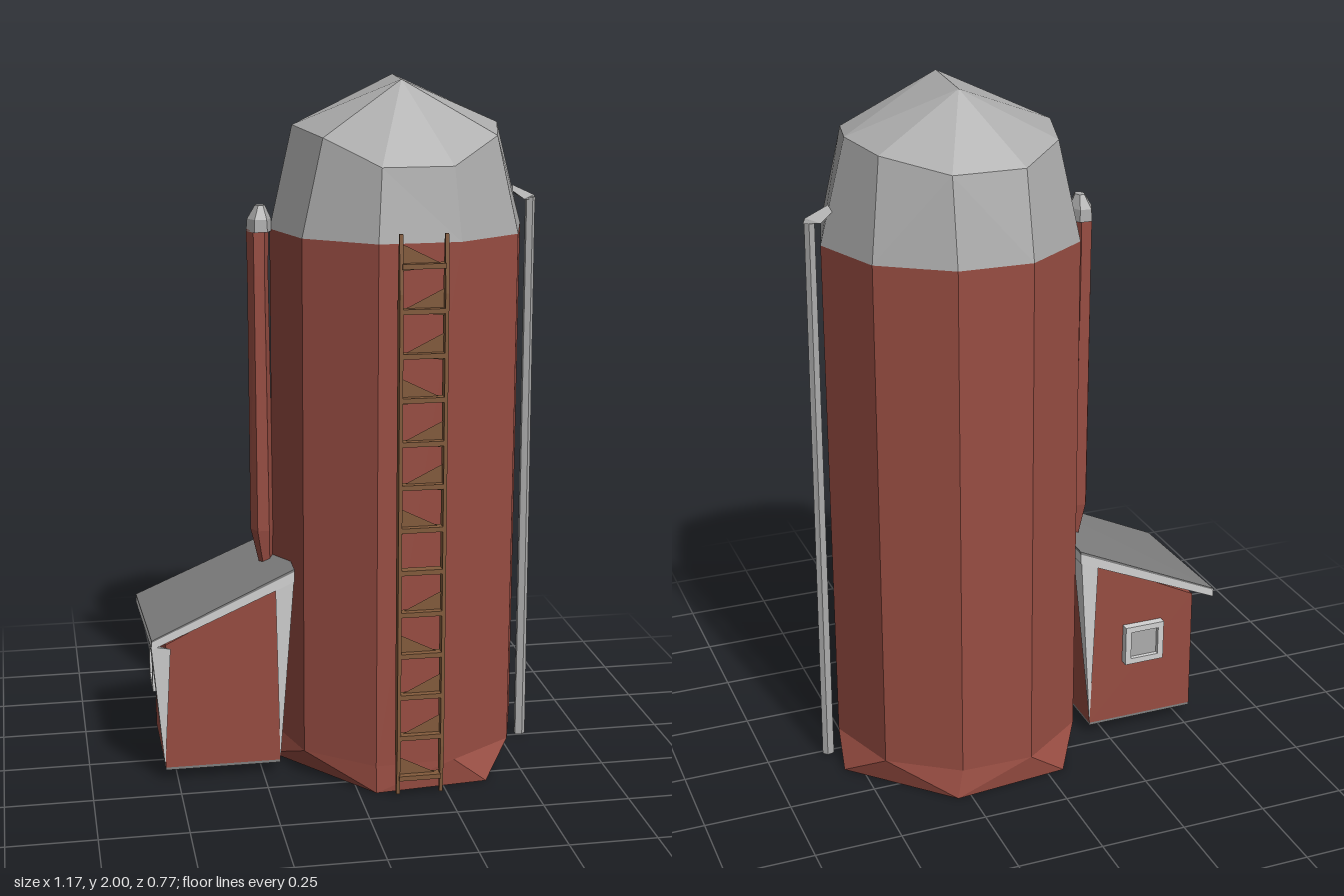
import * as THREE from 'three';

const mat = (name, color, flat = true) => {
  const m = new THREE.MeshStandardMaterial({ color, flatShading: flat });
  m.name = name;
  return m;
};

// Stitches two closed loops (ordered from +x towards +z) by shortest diagonal
function stitch(out, a, b) {
  let i = 0, j = 0;
  while (i < a.length || j < b.length) {
    const p = a[i % a.length], q = b[j % b.length];
    const pn = a[(i + 1) % a.length], qn = b[(j + 1) % b.length];
    if (j === b.length || (i < a.length && pn.distanceTo(q) <= p.distanceTo(qn))) {
      out.push(p, q, pn);
      i++;
    } else {
      out.push(p, q, qn);
      j++;
    }
  }
}

// Solid through loops of [x, y, z] listed from bottom to top, closed at both ends
function loft(loops) {
  const rings = loops.map(l => l.map(p => new THREE.Vector3(...p)));
  const out = [];
  for (let k = 0; k + 1 < rings.length; k++) stitch(out, rings[k], rings[k + 1]);
  const lo = rings[0], hi = rings[rings.length - 1];
  for (let i = 1; i + 1 < lo.length; i++) out.push(lo[0], lo[i], lo[i + 1]);
  for (let i = 1; i + 1 < hi.length; i++) out.push(hi[0], hi[i + 1], hi[i]);
  const g = new THREE.BufferGeometry().setFromPoints(out);
  g.computeVertexNormals();
  return g;
}

const atY = (pts, y) => pts.map(([x, z], i) => [x, Array.isArray(y) ? y[i] : y, z]);
const ring = (cx, y, cz, rx, rz, n) => Array.from({ length: n }, (_, i) => {
  const t = (i / n) * Math.PI * 2;
  return [cx + rx * Math.cos(t), y, cz + rz * Math.sin(t)];
});
const rect = (x0, x1, z0, z1) => [[x0, z0], [x1, z0], [x1, z1], [x0, z1]];

export function createModel() {
  const group = new THREE.Group();
  group.name = 'siloWithShed';
  const red = mat('barn red', 0x984d42);
  const metal = mat('light metal', 0xacacac);
  const roofGrey = mat('roof grey', 0x808080);
  const trim = mat('pale trim', 0xd2d2d2);
  const wood = mat('ladder wood', 0x835b3c);
  wood.side = trim.side = THREE.DoubleSide;

  const add = (name, geo, material, parent = group) => {
    const m = new THREE.Mesh(geo, material);
    m.name = name;
    parent.add(m);
    return m;
  };

  // Silo body: ten-sided wall on a six-sided foot
  const foot = [[-0.05, -0.355], [0.29, -0.385], [0.55, -0.12], [0.38, 0.31], [0.05, 0.34], [-0.21, 0]];
  const wall = [[0.06, -0.375], [0.27, -0.37], [0.46, -0.24], [0.535, -0.02], [0.47, 0.2],
    [0.28, 0.325], [0.05, 0.335], [-0.135, 0.19], [-0.195, -0.02], [-0.13, -0.24]];
  add('siloBody', loft([atY(foot, 0), atY(wall, 0.08), atY(wall, 1.58)]), red);

  // Dome: sloping shoulder and a short ridge
  const shoulder = [[0.06, -0.32], [0.265, -0.32], [0.42, -0.19], [0.46, -0.02], [0.41, 0.185],
    [0.265, 0.295], [0.065, 0.3], [-0.075, 0.18], [-0.13, -0.02], [-0.08, -0.2]];
  const shoulderY = [1.82, 1.82, 1.855, 1.87, 1.85, 1.78, 1.78, 1.85, 1.87, 1.855];
  add('dome', loft([atY(wall, 1.58), atY(shoulder, shoulderY), [[0.18, 2, -0.14], [0.155, 2, 0.11]]]), metal);

  // Red chute on the shed side with a metal cap
  add('chute', loft([
    ring(-0.21, 0.54, -0.02, 0.012, 0.015, 6), ring(-0.225, 0.7, -0.02, 0.034, 0.04, 6),
    ring(-0.23, 1.45, -0.02, 0.03, 0.04, 6), ring(-0.23, 1.58, -0.02, 0.032, 0.04, 6)]), red);
  add('chuteCap', loft([
    ring(-0.225, 1.575, -0.02, 0.037, 0.048, 6), ring(-0.225, 1.61, -0.02, 0.034, 0.045, 6),
    ring(-0.222, 1.648, -0.02, 0.014, 0.02, 6)]), metal);

  // Filler pipe on the other side with a bent head
  add('fillerPipe', loft([
    ring(0.567, 0, -0.012, 0.018, 0.013, 5), ring(0.562, 1.655, -0.016, 0.015, 0.014, 5)]), metal);
  const head = [[0.505, -0.04], [0.54, -0.05], [0.582, -0.022], [0.54, 0.004], [0.505, -0.002]];
  add('fillerHead', loft([
    atY(head, [1.675, 1.65, 1.645, 1.65, 1.675]), [[0.51, 1.69, -0.02], [0.575, 1.66, -0.02]]]), metal);

  // Ladder: two leaning rails with warped boards between them
  const ladder = new THREE.Group();
  ladder.name = 'ladder';
  group.add(ladder);
  const leanZ = y => 0.374 - 0.014 * (y / 1.6);
  for (const x of [0.105, 0.23]) {
    const r = (y, d) => atY(rect(x - 0.005, x + 0.005, leanZ(y) - d, leanZ(y) + d), y);
    add('ladderRail', loft([r(0.01, 0.005), r(0.15, 0.015), r(1.45, 0.015), r(1.61, 0.004)]), wood, ladder);
  }
  for (let i = 0; i < 13; i++) {
    const y = 0.06 + i * 0.122, z = leanZ(y);
    add('ladderRung', new THREE.BoxGeometry(0.12, 0.014, 0.03), wood, ladder).position.set(0.167, y, z);
    if (i === 5) continue;
    const flip = i % 3 === 0 ? -1 : 1;
    const board = new THREE.Shape([
      new THREE.Vector2(-0.06 * flip, 0), new THREE.Vector2(0.06 * flip, -0.015),
      new THREE.Vector2(0.06 * flip, 0.06)]);
    add('ladderBoard', new THREE.ShapeGeometry(board), wood, ladder).position.set(0.167, y, z - 0.004);
  }

  // Shed with a lean-to roof
  const shed = new THREE.Group();
  shed.name = 'shed';
  group.add(shed);
  const base = rect(-0.535, -0.2, -0.205, 0.15);
  const eaves = rect(-0.53, -0.19, -0.21, 0.16);
  add('shedWalls', loft([atY(base, 0.04), atY(eaves, [0.42, 0.59, 0.59, 0.42])]), red, shed);
  add('shedFloor', loft([atY(base, 0.032), atY(base, 0.04)]), roofGrey, shed);
  const roof = [[-0.585, -0.24], [-0.155, -0.222], [-0.16, 0.18], [-0.57, 0.18]];
  const slope = (a, b) => [a, b, b, a];
  add('shedRoof', loft([atY(roof, slope(0.437, 0.625)), atY(roof, slope(0.442, 0.633))]), roofGrey, shed);
  add('shedFascia', loft([atY(roof, slope(0.415, 0.595)), atY(roof, slope(0.437, 0.625))]), trim, shed);

  // Tapered corner boards running from the roof corners to the floor
  const corners = [
    [-0.572, 0.425, 0.18, 0.055, -0.05, -0.537, 0.151],
    [-0.16, 0.61, 0.18, -0.055, -0.06, -0.2, 0.151],
    [-0.157, 0.61, -0.222, -0.055, 0.06, -0.2, -0.206]];
  for (const [x, y, z, dx, dz, bx, bz] of corners) {
    const top = [[x, y, z], [x + dx, y - 0.01, z], [x, y - 0.01, z + dz]];
    const order = dx * dz > 0 ? top : [top[0], top[2], top[1]];
    add('cornerBoard', loft([[[bx, 0.04, bz]], order]), trim, shed);
  }

  // Framed windows in the outer and back walls
  const square = (h, Kind) => new Kind([[-h, -h], [h, -h], [h, h], [-h, h]].map(p => new THREE.Vector2(...p)));
  const outline = square(0.062, THREE.Shape);
  outline.holes.push(square(0.044, THREE.Path));
  const frameGeo = new THREE.ExtrudeGeometry(outline, { depth: 0.025, bevelEnabled: false });
  for (const [x, z, turn] of [[-0.535, -0.025, -Math.PI / 2], [-0.365, -0.207, Math.PI]]) {
    const win = new THREE.Group();
    win.name = 'window';
    win.position.set(x, 0.295, z);
    win.rotation.y = turn;
    shed.add(win);
    add('windowFrame', frameGeo, trim, win);
    add('windowPane', new THREE.BoxGeometry(0.09, 0.09, 0.008), metal, win).position.z = 0.008;
  }
  return group;
}
